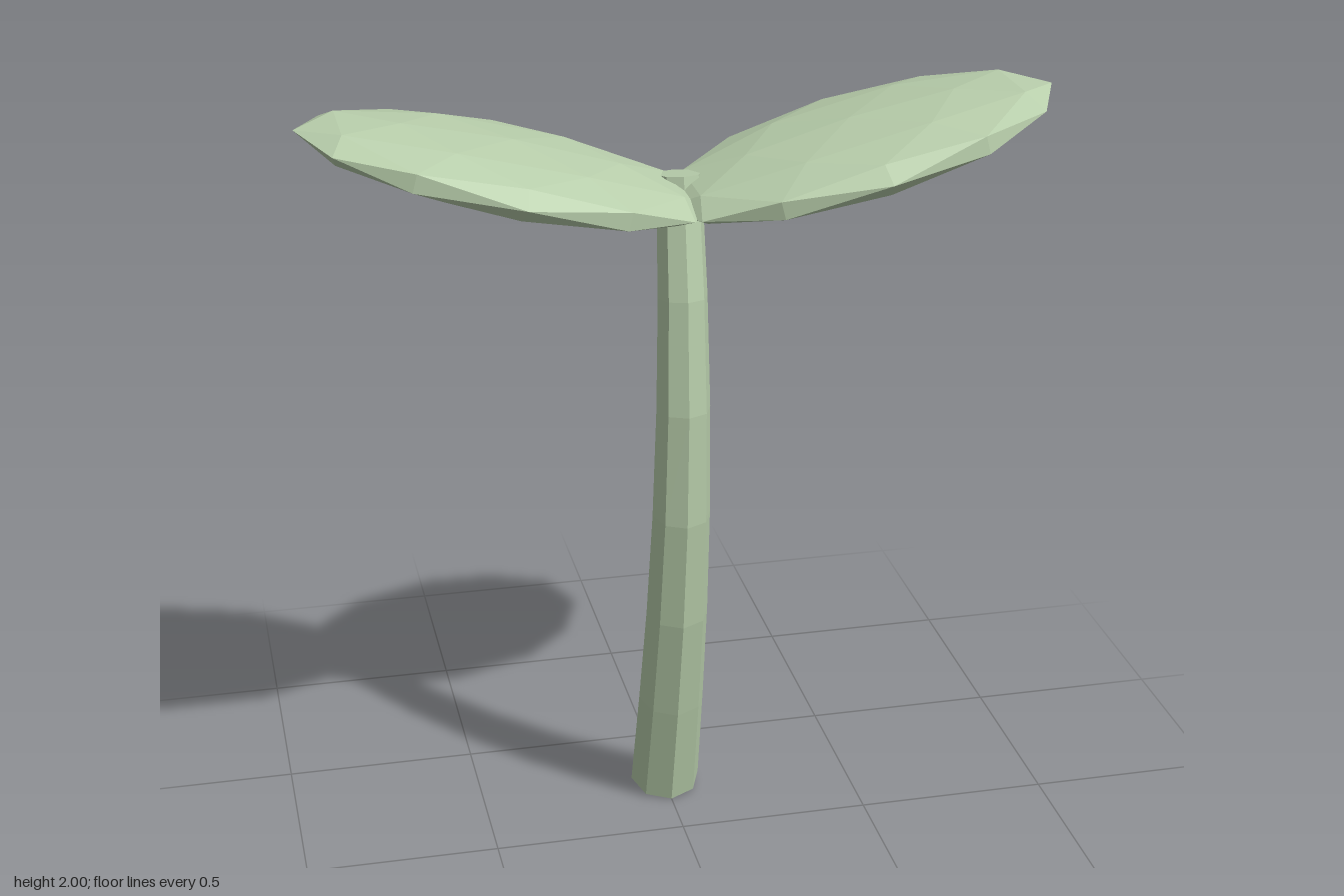
import * as THREE from 'three';

const material = new THREE.MeshStandardMaterial({ color: 0xb9cfac, flatShading: true });

// Tapered eight-sided stem, bent along a curve with rings square to it
function makeStem() {
  const curve = new THREE.CatmullRomCurve3([
    [0.03, -0.235], [0.33, -0.149], [0.62, -0.075], [0.92, -0.022],
    [1.22, 0.002], [1.51, -0.006], [1.81, -0.047],
  ].map(([y, z]) => new THREE.Vector3(0, y, z)));
  const geometry = new THREE.CylinderGeometry(0.056, 0.093, 1, 8, 6);
  const pos = geometry.attributes.position;
  for (let i = 0; i < pos.count; i++) {
    const t = THREE.MathUtils.clamp(pos.getY(i) + 0.5, 0, 1);
    const centre = curve.getPoint(t);
    const tangent = curve.getTangent(t);
    const z = pos.getZ(i);
    pos.setXYZ(i, pos.getX(i), centre.y - z * tangent.z, centre.z + z * tangent.y);
  }
  geometry.computeVertexNormals();
  const stem = new THREE.Mesh(geometry, material);
  stem.name = 'stem';
  return stem;
}

// Flattened faceted leaf, raised towards its outer tip
function makeLeaf(side, name) {
  const leaf = new THREE.Mesh(new THREE.IcosahedronGeometry(1, 1), material);
  leaf.name = name;
  leaf.scale.set(0.506, 0.073, 0.325);
  leaf.rotation.z = side * 0.25;
  leaf.position.set(side * 0.425, 1.865, 0);
  return leaf;
}

export function createModel() {
  const group = new THREE.Group();
  group.name = 'sprout';
  group.add(makeStem(), makeLeaf(1, 'leftLeaf'), makeLeaf(-1, 'rightLeaf'));
  return group;
}
